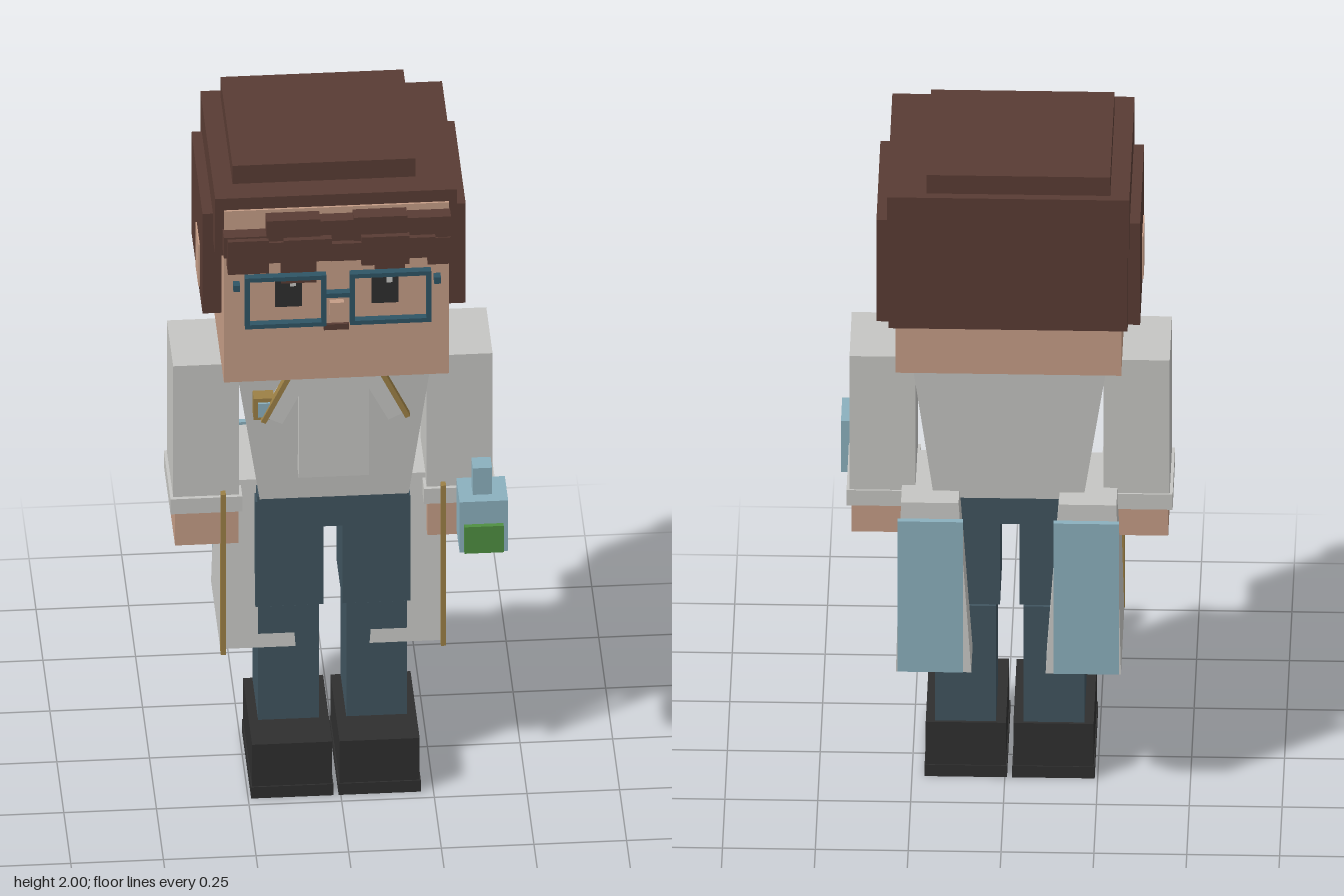
import * as THREE from 'three';

const mat = (name, color) => {
  const m = new THREE.MeshStandardMaterial({ color });
  m.name = name;
  return m;
};

export function createModel() {
  const model = new THREE.Group();
  model.name = 'blockFigure';

  const skin = mat('skin', 0xc59d86);
  const hair = mat('hair brown', 0x593c34);
  const coat = mat('coat grey', 0xc6c6c3);
  const denim = mat('trouser blue', 0x40545f);
  const black = mat('shoe black', 0x2f2f2f);
  const glass = mat('pale blue', 0x8bb0be);
  const green = mat('label green', 0x4f8f42);
  const gold = mat('gold trim', 0x9c8045);
  const teal = mat('frame teal', 0x2f5565);

  const CX = -0.013; // body centre line

  // Box given by its limits on each axis
  function box(name, m, [x0, x1], [y0, y1], [z0, z1], parent = model) {
    const mesh = new THREE.Mesh(new THREE.BoxGeometry(x1 - x0, y1 - y0, z1 - z0), m);
    mesh.position.set((x0 + x1) / 2, (y0 + y1) / 2, (z0 + z1) / 2);
    mesh.name = name;
    parent.add(mesh);
    return mesh;
  }

  // Box whose bottom and top rectangles differ: [x0, x1, z0, z1]
  function taper(name, m, [y0, y1], bottom, top) {
    const g = new THREE.BoxGeometry(1, 1, 1);
    const p = g.attributes.position;
    for (let i = 0; i < p.count; i++) {
      const r = p.getY(i) > 0 ? top : bottom;
      p.setXYZ(i, p.getX(i) > 0 ? r[1] : r[0], p.getY(i) > 0 ? y1 : y0, p.getZ(i) > 0 ? r[3] : r[2]);
    }
    g.computeVertexNormals();
    const mesh = new THREE.Mesh(g, m);
    mesh.name = name;
    model.add(mesh);
  }

  // Limits measured outward from the centre line, on side s
  const span = (s, a, b) => (s > 0 ? [CX + a, CX + b] : [CX - b, CX - a]);

  // Head and hair
  box('head', skin, [-0.317, 0.291], [1.355, 1.905], [-0.247, 0.238]);
  box('hairCap', hair, [-0.34, 0.312], [1.76, 1.942], [-0.3, 0.232]);
  box('hairTop', hair, [-0.288, 0.206], [1.94, 2], [-0.277, 0.161]);
  box('hairBack', hair, [-0.335, 0.308], [1.522, 1.77], [-0.29, -0.2]);
  for (const s of [-1, 1]) {
    box('hairSide', hair, span(s, 0.29, 0.355), [1.522, 1.842], [-0.255, 0.15]);
    box('ear', skin, span(s, 0.3, 0.359), [1.545, 1.68], [-0.058, 0.053]);
  }

  // Fringe: x limits, y limits, front depth
  const fringe = [
    [-0.32, -0.2, 1.78, 1.845, 0.277], [-0.205, -0.06, 1.8, 1.895, 0.28],
    [-0.06, 0.03, 1.79, 1.885, 0.275], [0.03, 0.175, 1.8, 1.895, 0.28],
    [0.17, 0.293, 1.79, 1.885, 0.277],
    [-0.31, -0.2, 1.735, 1.84, 0.291], [-0.225, -0.15, 1.765, 1.83, 0.288],
    [-0.165, -0.07, 1.685, 1.8, 0.268], [-0.16, -0.03, 1.77, 1.84, 0.295],
    [-0.03, 0.05, 1.765, 1.82, 0.29], [0.05, 0.18, 1.75, 1.84, 0.295],
    [0.09, 0.17, 1.7, 1.79, 0.268], [0.17, 0.25, 1.765, 1.83, 0.291],
    [0.23, 0.293, 1.735, 1.82, 0.28],
  ];
  for (const [x0, x1, y0, y1, z] of fringe) box('fringeTuft', hair, [x0, x1], [y0, y1], [0.232, z]);

  // Face
  for (const s of [-1, 1]) {
    const [e0, e1] = span(s, 0.094, 0.166);
    box('eye', black, [e0, e1], [1.595, 1.695], [0.237, 0.245]);
    box('eyeGlint', coat, [e1 - 0.032, e1 - 0.016], [1.662, 1.682], [0.245, 0.248]);
  }
  box('nose', skin, [-0.032, 0.006], [1.563, 1.608], [0.236, 0.256]);
  box('mouth', hair, [-0.048, 0.02], [1.515, 1.533], [0.237, 0.246]);

  // Glasses
  const glasses = new THREE.Group();
  glasses.name = 'glasses';
  model.add(glasses);
  const gz = [0.277, 0.298], t = 0.013;
  for (const s of [-1, 1]) {
    const [a, b] = span(s, 0.032, 0.251);
    for (const y of [1.562, 1.725 - t]) box('rimBar', teal, [a, b], [y, y + t], gz, glasses);
    for (const x of [a, b - t]) box('rimSide', teal, [x, x + t], [1.562, 1.725], gz, glasses);
    box('hinge', teal, span(s, 0.262, 0.28), [1.66, 1.68], [0.237, 0.262], glasses);
  }
  box('bridge', teal, span(1, -0.034, 0.034), [1.652, 1.666], gz, glasses);

  // Coat body
  taper('coatBody', coat, [0.9, 1.36], [-0.212, 0.19, -0.146, 0.125], [-0.28, 0.252, -0.162, 0.155]);
  box('coatFront', coat, [-0.11, 0.08], [0.995, 1.335], [0.1, 0.172]);

  // Lapels with gold edging
  for (const s of [-1, 1]) {
    const lapel = box('lapel', coat, [-0.025, 0.025], [-0.085, 0.085], [-0.03, 0.03]);
    lapel.position.set(CX + s * 0.127, 1.272, 0.164);
    lapel.rotation.z = s * 0.47;
    const edge = box('lapelTrim', gold, [-0.007, 0.007], [-0.085, 0.085], [-0.012, 0.012]);
    edge.position.set(CX + s * 0.158, 1.274, 0.193);
    edge.rotation.z = s * 0.45;
  }
  box('badge', gold, [-0.233, -0.178], [1.198, 1.266], [0.135, 0.19]);
  box('badgeFace', glass, [-0.222, -0.189], [1.21, 1.254], [0.19, 0.197]);

  // Arms, coat tails and legs, mirrored
  for (const s of [-1, 1]) {
    box('sleeve', coat, span(s, 0.253, 0.431), [0.89, 1.327], [-0.12, 0.106]);
    box('cuff', coat, span(s, 0.245, 0.439), [0.858, 0.906], [-0.125, 0.117]);
    box('hand', skin, span(s, 0.255, 0.426), [0.75, 0.865], [-0.083, 0.106]);

    taper('coatTail', coat, [0.405, 0.922],
      [...span(s, 0.1, 0.303), -0.238, 0.097], [...span(s, 0.135, 0.29), -0.21, 0.06]);
    box('tailTrim', gold, span(s, 0.29, 0.304), [0.405, 0.92], [0.105, 0.126]);
    box('tailPanel', glass, span(s, 0.122, 0.298), [0.425, 0.9], [-0.272, -0.256]);

    box('thigh', denim, span(s, 0.026, 0.209), [0.542, 0.88], [-0.11, 0.106]);
    box('shin', denim, span(s, 0.037, 0.201), [0.16, 0.534], [-0.106, 0.094]);
    box('shoe', black, span(s, 0.01, 0.226), [0.03, 0.17], [-0.114, 0.215]);
    box('sole', black, span(s, 0.007, 0.229), [0, 0.036], [-0.117, 0.219]);
  }
  box('waist', denim, [-0.217, 0.191], [0.8, 0.905], [-0.115, 0.118]);

  // Bottle in the left hand
  const bottle = new THREE.Group();
  bottle.name = 'bottle';
  model.add(bottle);
  box('bottleBody', glass, [0.317, 0.448], [0.795, 0.957], [0.147, 0.267], bottle);
  box('bottleNeck', glass, [0.355, 0.407], [0.957, 1.042], [0.179, 0.233], bottle);
  box('bottleLabel', green, [0.329, 0.435], [0.8, 0.885], [0.267, 0.281], bottle);

  return model;
}
